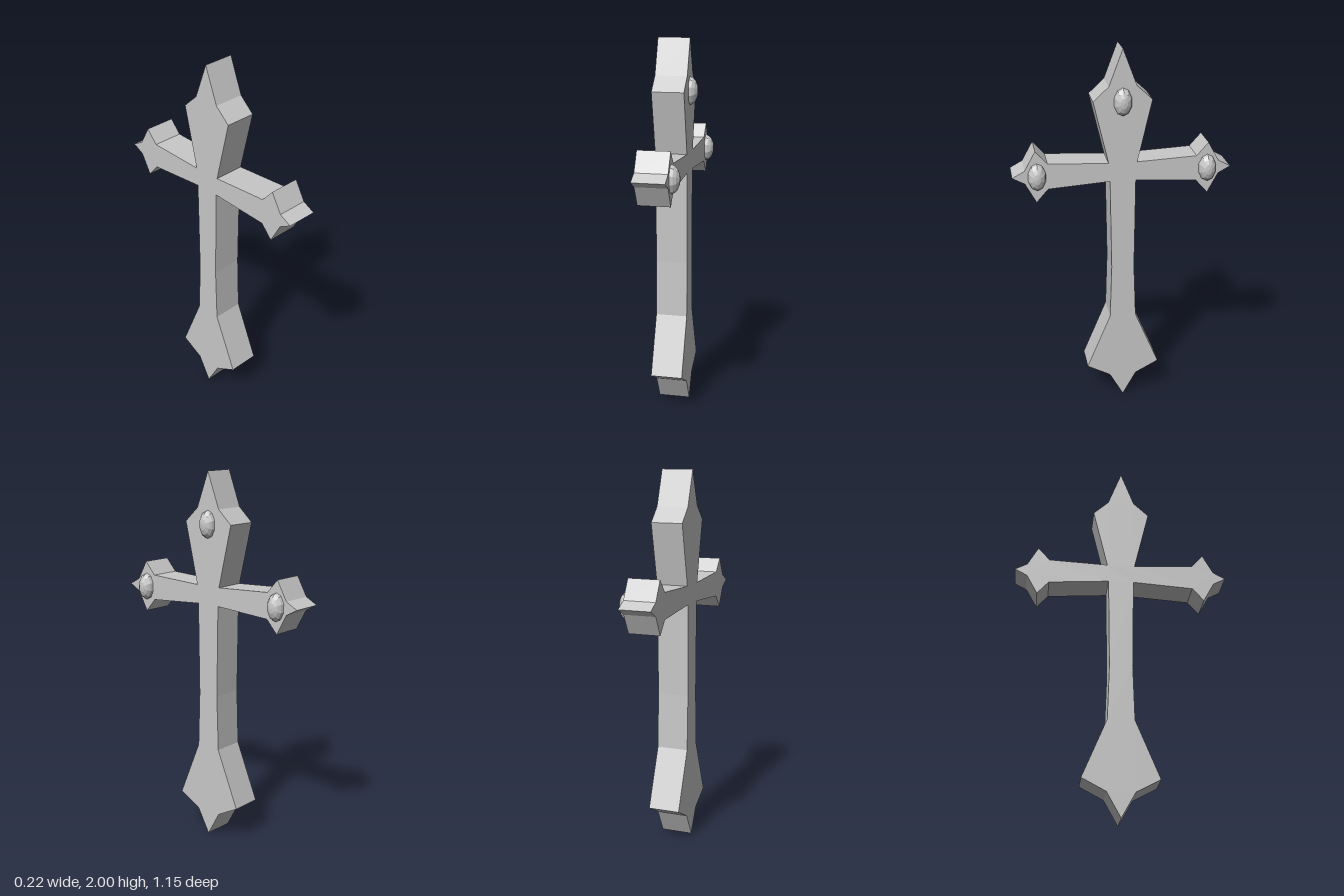
import * as THREE from 'three';

export function createModel() {
  const model = new THREE.Group();
  const stone = new THREE.MeshStandardMaterial({ color: 0xc8c8c8, flatShading: true });
  stone.name = 'grey stone';

  // Half outline of the cross as [z, y], from the top point down to the foot point
  const half = [
    [0, 2], [0.072, 1.81], [0.153, 1.735], [0.075, 1.405],
    [0.391, 1.42], [0.453, 1.49], [0.51, 1.388], [0.575, 1.353],
    [0.51, 1.318], [0.453, 1.213], [0.391, 1.283], [0.068, 1.305],
    [0.061, 0.81], [0.071, 0.51], [0.2, 0.2], [0.074, 0.133], [0, 0],
  ];
  const mirrored = half.slice(1, -1).reverse().map(([z, y]) => [-z, y]);
  const outline = [...half, ...mirrored].map(([z, y]) => new THREE.Vector2(z, y));

  // Thick slab whose wide faces look along x
  const slab = new THREE.ExtrudeGeometry(new THREE.Shape(outline), { depth: 0.17, bevelEnabled: false });
  slab.translate(0, 0, -0.11).rotateY(Math.PI / 2);
  const cross = new THREE.Mesh(slab, stone);
  cross.name = 'cross';
  model.add(cross);

  // Faceted oval studs on the +x face
  const dome = new THREE.SphereGeometry(1, 10, 4, 0, Math.PI * 2, 0, Math.PI / 2);
  dome.rotateZ(-Math.PI / 2);
  const studs = [
    ['topStud', 1.728, 0, 0.044],
    ['leftArmStud', 1.352, 0.447, 0.047],
    ['rightArmStud', 1.352, -0.449, 0.047],
  ];
  for (const [name, y, z, height] of studs) {
    const stud = new THREE.Mesh(dome, stone);
    stud.name = name;
    stud.scale.set(height, 0.074, 0.048);
    stud.position.set(0.059, y, z);
    model.add(stud);
  }
  // The top stud sits on the head, the others on the arm ends
  return model;
}
